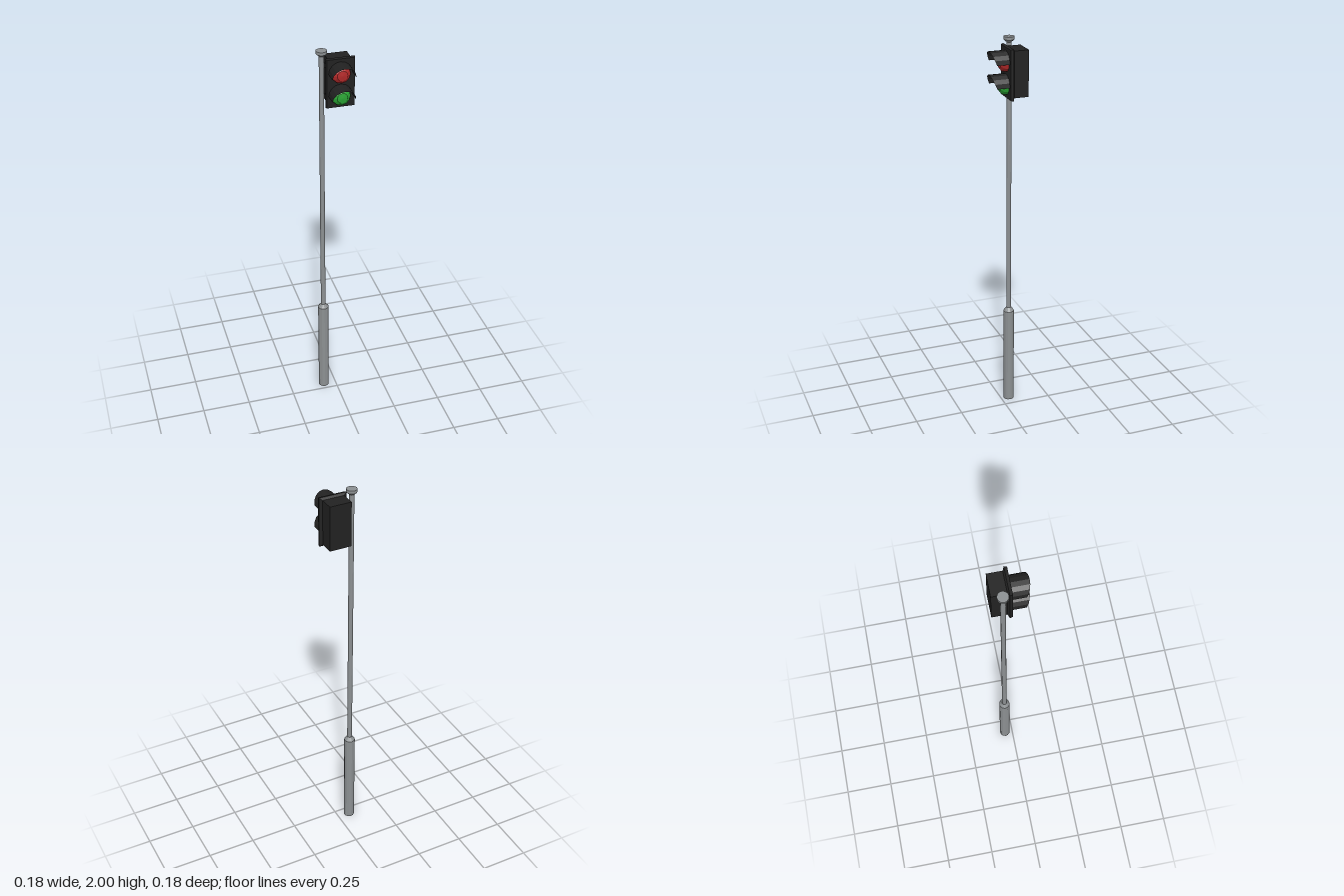
import * as THREE from 'three';

const flat = (name, color, side = THREE.FrontSide) => {
  const m = new THREE.MeshStandardMaterial({ color, side, flatShading: true });
  m.name = name;
  return m;
};

export function createModel() {
  const steel = flat('steel grey', 0x8c9092);
  const black = flat('housing black', 0x222222, THREE.DoubleSide);
  const red = flat('signal red', 0xb42a2a);
  const green = flat('signal green', 0x2ba535);

  const model = new THREE.Group();
  model.name = 'trafficLight';
  const add = (name, geometry, material, x = 0, y = 0, z = 0, parent = model) => {
    const mesh = new THREE.Mesh(geometry, material);
    mesh.name = name;
    mesh.position.set(x, y, z);
    parent.add(mesh);
    return mesh;
  };
  const lathe = (pts, sides = 12) =>
    new THREE.LatheGeometry(pts.map(([r, y]) => new THREE.Vector2(r, y)), sides);

  // Post: thick base, tapered shoulder, slim pole and cap
  const px = -0.065, pz = -0.043;
  add('base', lathe([[0, 0], [0.028, 0], [0.028, 0.53], [0.013, 0.55], [0, 0.55]]), steel, px, 0, pz);
  add('pole', new THREE.CylinderGeometry(0.0125, 0.0125, 1.44, 12), steel, px, 1.265, pz);
  add('cap', lathe([[0.0125, 1.972], [0.027, 1.985], [0.027, 2], [0, 2]]), steel, px, 0, pz);

  // Signal head
  const head = new THREE.Group();
  head.name = 'signalHead';
  head.position.set(0.0165, 1.845, 0);
  model.add(head);
  add('housing', new THREE.BoxGeometry(0.112, 0.23, 0.078), black, 0, 0, -0.053, head);
  for (const y of [-0.08, 0.08])
    add('bracket', new THREE.BoxGeometry(0.022, 0.02, 0.014), black, -0.064, y, pz, head);

  // Front plate with a bevelled rear edge
  const plate = new THREE.BoxGeometry(2, 2, 2, 1, 1, 2);
  const rows = { '-1': [0.056, 0.115, -0.018], 0: [0.071, 0.126, -0.01], 1: [0.068, 0.123, 0.004] };
  const p = plate.attributes.position;
  for (let i = 0; i < p.count; i++) {
    const [w, h, z] = rows[Math.round(p.getZ(i))];
    p.setXYZ(i, p.getX(i) * w, p.getY(i) * h, z);
  }
  plate.computeVertexNormals();
  add('frontPlate', plate, black, 0, 0, 0, head);

  // Domed lens
  const lens = lathe([[0.047, 0], [0.046, 0.014], [0.041, 0.024], [0.028, 0.034], [0.026, 0.036], [0, 0.039]])
    .rotateX(Math.PI / 2);

  // Half-round visor, cut back at its lower corners
  const r = 0.058;
  const visor = new THREE.CylinderGeometry(r, r, 1, 8, 1, true, Math.PI / 2, Math.PI).rotateX(Math.PI / 2);
  const v = visor.attributes.position;
  for (let i = 0; i < v.count; i++)
    v.setZ(i, v.getZ(i) > 0 ? 0.068 + 0.022 * (v.getY(i) / r) : 0);
  visor.computeVertexNormals();

  for (const [name, mat, y] of [['red', red, 0.051], ['green', green, -0.063]]) {
    add(name + 'Lens', lens, mat, -0.002, y, 0.003, head);
    add(name + 'Visor', visor, black, -0.002, y, 0, head);
  }
  return model;
}
